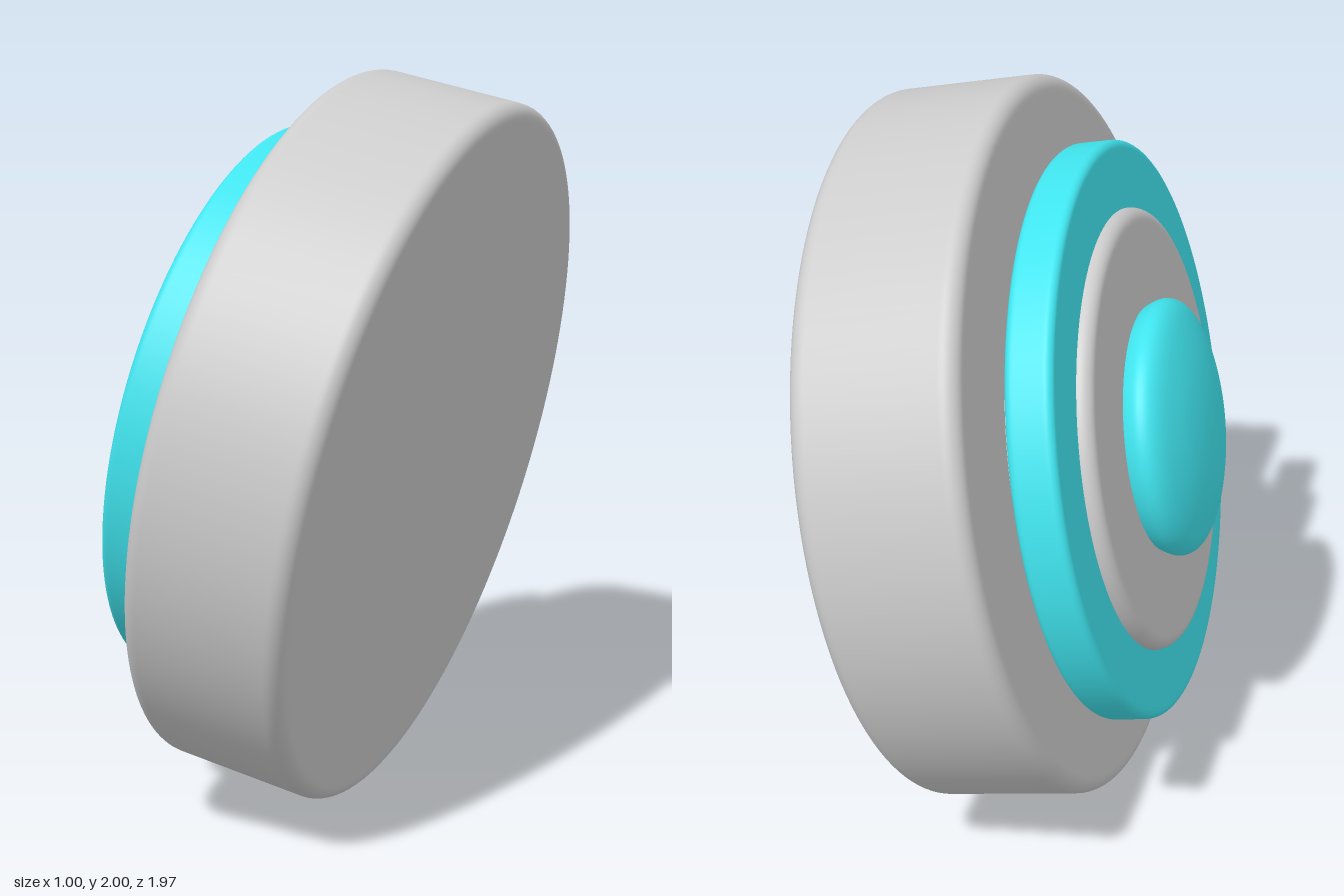
import * as THREE from 'three';

const GREY = 0xcccccc, CYAN = 0x40e4ee;

// Lathe a closed profile of [radius, height] points around the disc axis
function turned(name, points, color) {
  const geometry = new THREE.LatheGeometry(points.map(([r, h]) => new THREE.Vector2(r, h)), 128);
  const mesh = new THREE.Mesh(geometry, new THREE.MeshStandardMaterial({ color }));
  mesh.name = name;
  return mesh;
}

// Disc profile with rounded rims; extra points keep the flat areas flat
function discProfile(radius, from, to, round) {
  const points = [[0, from], [radius - round - 0.01, from]];
  const arc = (cy, start) => {
    for (let i = 0; i <= 8; i++) {
      const a = start + (i / 8) * Math.PI / 2;
      points.push([radius - round + Math.cos(a) * round, cy + Math.sin(a) * round]);
    }
  };
  arc(from + round, -Math.PI / 2);
  points.push([radius, from + round + 0.005], [radius, to - round - 0.005]);
  arc(to - round, 0);
  points.push([radius - round - 0.01, to], [0, to]);
  return points;
}

export function createModel() {
  const model = new THREE.Group();
  model.name = 'tiltedButton';

  // Stacked discs, thickest at the bottom
  model.add(turned('base', discProfile(0.983, 0, 0.445, 0.042), GREY));
  model.add(turned('collar', discProfile(0.655, 0.4, 0.482, 0.035), GREY));
  model.add(turned('ring', discProfile(0.787, 0.488, 0.615, 0.022), CYAN));
  model.add(turned('plate', discProfile(0.602, 0.44, 0.652, 0.035), GREY));

  // Domed push button with a soft, slightly undercut side
  const dome = new THREE.SplineCurve([
    [0.325, 0.635], [0.342, 0.665], [0.35, 0.697], [0.335, 0.729], [0.29, 0.756],
    [0.2, 0.783], [0.1, 0.797], [0, 0.801],
  ].map(([r, h]) => new THREE.Vector2(r, h)));
  const domePoints = dome.getPoints(40).map((p) => [Math.max(p.x, 0), p.y]);
  model.add(turned('pushButton', [[0, 0.635], ...domePoints], CYAN));

  // Lean the whole stack so its axis points to -x and slightly up
  model.rotation.z = THREE.MathUtils.degToRad(78);
  model.position.set(0.302, 0.953, 0);
  const root = new THREE.Group();
  root.name = 'buttonAssembly';
  root.add(model);
  return root;
}
